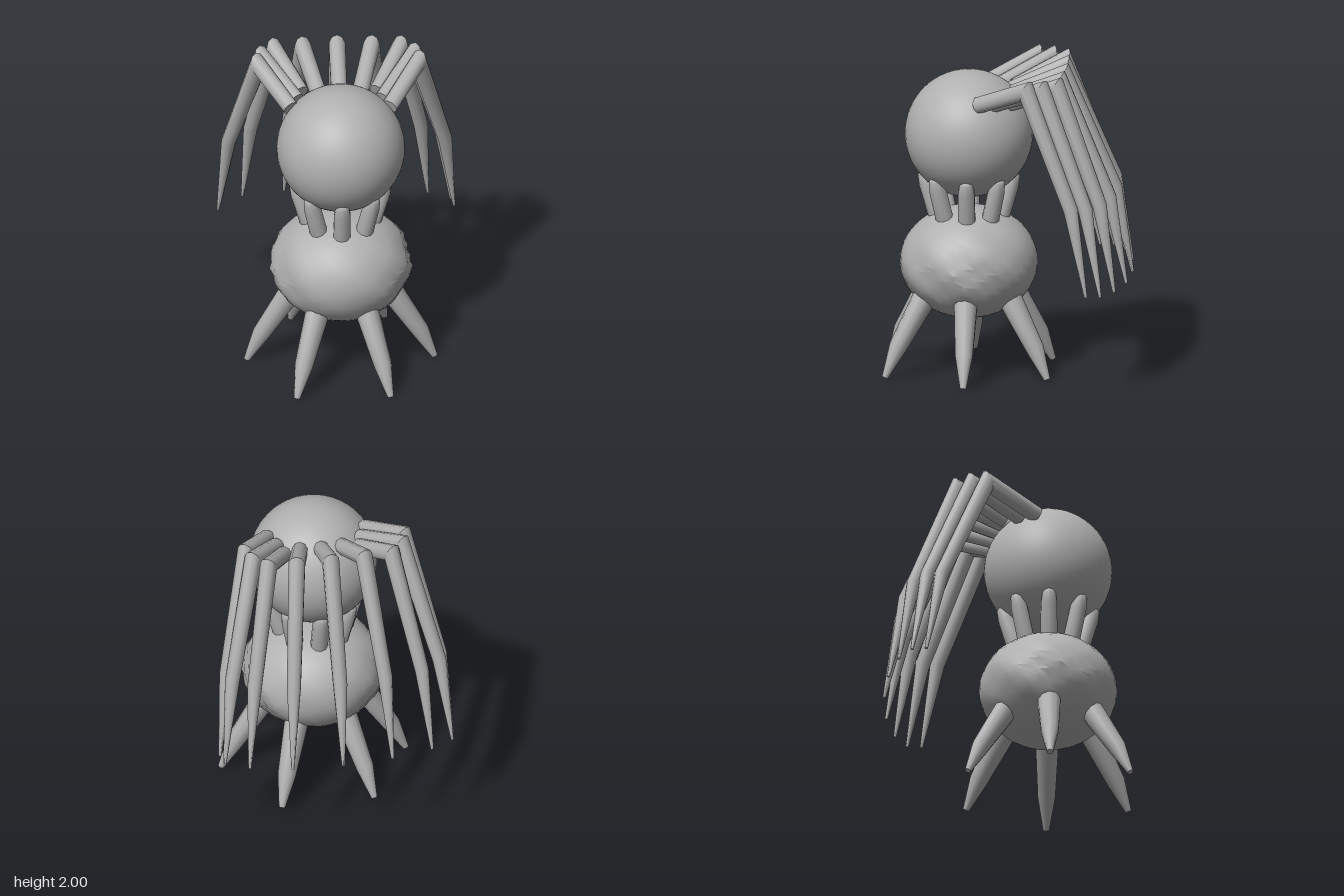
import * as THREE from 'three';
import { toCreasedNormals } from 'three/addons/utils/BufferGeometryUtils.js';

const grey = new THREE.MeshStandardMaterial({ color: 0xb0b0b0 });
grey.name = 'grey';
const AXIS_Z = 0.255; // head and body share this centre line

// Mitred tube in the local x-y plane; each station is [x, y, radius]
function limbGeometry(stations, sides = 10) {
  const pos = [], idx = [], last = stations.length - 1;
  const points = stations.map(([x, y]) => new THREE.Vector2(x, y));
  stations.forEach(([x, y, r], i) => {
    const before = points[i].clone().sub(points[Math.max(i - 1, 0)]).normalize();
    const after = points[Math.min(i + 1, last)].clone().sub(points[i]).normalize();
    const dir = before.clone().add(after).normalize();
    const mitre = r / (i === 0 || i === last ? 1 : before.dot(dir));
    for (let j = 0; j < sides; j++) {
      const a = (j / sides) * Math.PI * 2, c = Math.cos(a) * mitre;
      pos.push(x - dir.y * c, y + dir.x * c, Math.sin(a) * r);
    }
  });
  for (let i = 0; i < last; i++) {
    for (let j = 0; j < sides; j++) {
      const a = i * sides + j, b = i * sides + (j + 1) % sides;
      idx.push(a, b, a + sides, b, b + sides, a + sides);
    }
  }
  // flat ends
  for (let j = 1; j < sides - 1; j++) {
    const e = last * sides;
    idx.push(0, j + 1, j, e, e + j, e + j + 1);
  }
  const g = new THREE.BufferGeometry();
  g.setAttribute('position', new THREE.Float32BufferAttribute(pos, 3));
  g.setIndex(idx);
  return toCreasedNormals(g, 0.75);
}

// Ellipsoid with irregular lumps around its waist
function lumpyBodyGeometry() {
  const g = new THREE.SphereGeometry(1, 40, 28);
  const p = g.attributes.position, v = new THREE.Vector3();
  for (let i = 0; i < p.count; i++) {
    v.fromBufferAttribute(p, i);
    const a = Math.atan2(v.z, v.x), waist = 1 - v.y * v.y;
    const lump = Math.sin(a * 9 + v.y * 5) * Math.cos(v.y * 11 + a * 2);
    const k = 1 + 0.045 * lump * waist * Math.abs(Math.cos(a));
    p.setXYZ(i, v.x * 0.44 * k, v.y * 0.357, v.z * 0.437 * k);
  }
  return toCreasedNormals(g, 0.7);
}

export function createModel() {
  const model = new THREE.Group();
  const add = (name, geometry, x, y, z, turn = 0) => {
    const mesh = new THREE.Mesh(geometry, grey);
    mesh.name = name;
    mesh.position.set(x, y, z);
    mesh.rotation.y = turn;
    model.add(mesh);
  };

  add('head', new THREE.SphereGeometry(0.405, 48, 32), 0, 1.535, AXIS_Z);
  add('body', lumpyBodyGeometry(), 0, 0.707, AXIS_Z);

  // Ring of neck struts
  const strut = limbGeometry([[0.205, 1.01, 0.056], [0.262, 1.2, 0.054], [0.283, 1.27, 0.042], [0.29, 1.3, 0.016]]);
  for (let i = 0; i < 8; i++) add('neckStrut', strut, 0, 0, AXIS_Z, i * Math.PI / 4);

  // Six splayed feet
  const foot = limbGeometry([[0.3, 0.52, 0.078], [0.5, 0.2, 0.058], [0.593, 0.01, 0.02]]);
  for (let i = 0; i < 6; i++) add('foot', foot, 0, 0, AXIS_Z, i * Math.PI / 3);

  // Nine long jointed legs fanned behind the head: hip x, hip z, tip x, tip z
  const fan = [
    [0, 0.01, 0, -0.78],
    [0.13, 0.01, 0.32, -0.76],
    [0.24, -0.02, 0.585, -0.70],
    [0.27, 0.08, 0.73, -0.62],
    [0.31, 0.18, 0.745, -0.53],
  ];
  fan.forEach(([hx, hz, tx, tz], i) => {
    const reach = Math.hypot(tx - hx, tz - hz);
    const leg = limbGeometry([
      [0, 1.785, 0.052], [reach * 0.45, 1.925, 0.055],
      [reach * 0.86, 1.2, 0.046], [reach, 0.65, 0.01],
    ]);
    for (const side of i ? [1, -1] : [1]) {
      add('longLeg', leg, side * hx, 0, hz, Math.atan2(hz - tz, side * (tx - hx)));
    }
  });
  return model;
}
